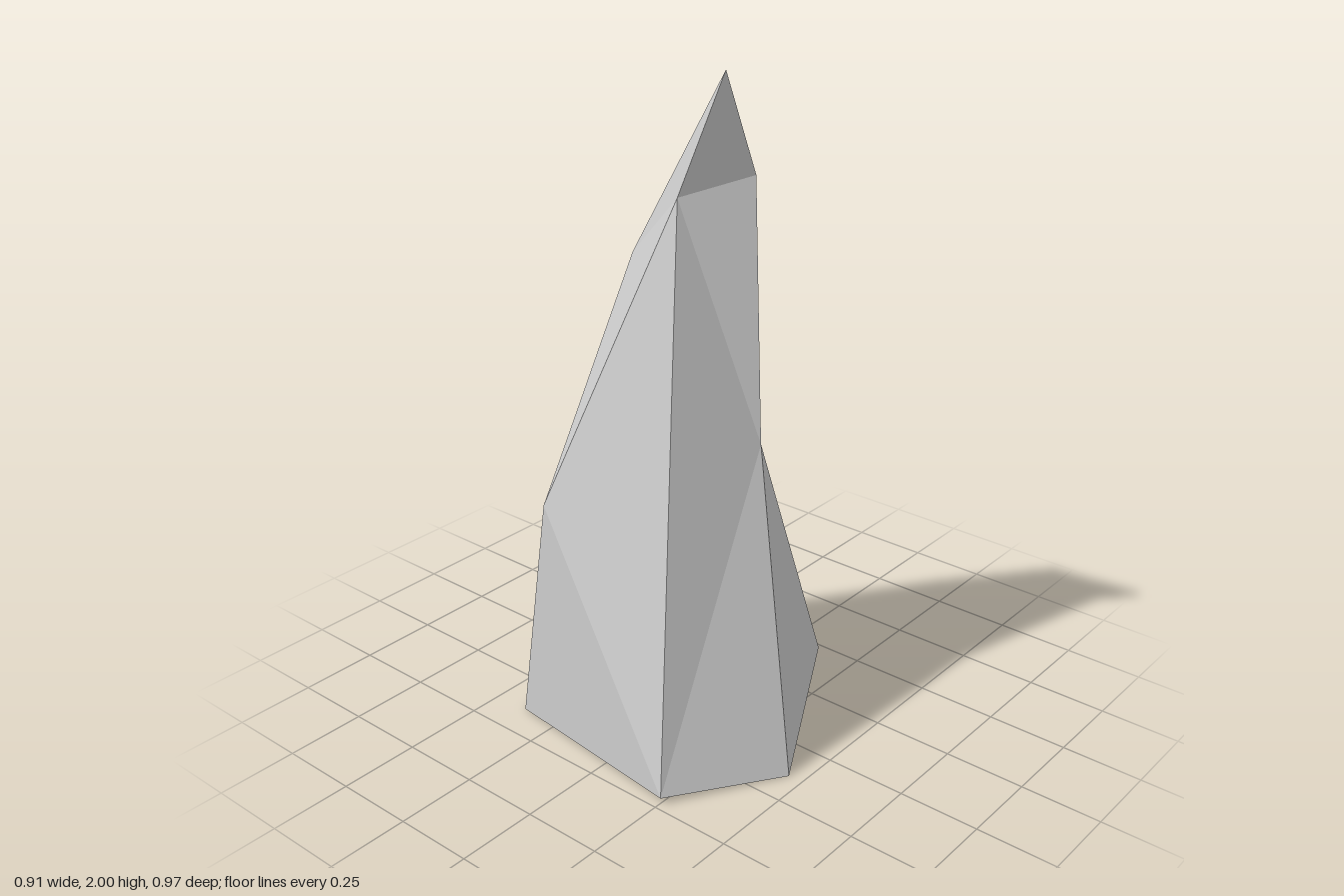
import * as THREE from 'three';

// Corner points of the shard, named by level
const P = {
  // uneven five-sided foot, counterclockwise from above
  b0: [-0.455, 0.01, -0.215], b1: [-0.385, 0, 0.39], b2: [0.253, 0.02, 0.48],
  b3: [0.453, 0, 0.14], b4: [0.105, 0, -0.485],
  // one break point on each flank
  m0: [-0.295, 1.4, -0.043], m1: [-0.275, 0.74, 0.38], m2: [-0.018, 1.64, 0.077],
  m3: [0.2, 0.93, -0.03], m4: [0.015, 0.69, -0.266],
  // shoulders and tip
  u1: [0.115, 1.69, -0.1], u2: [-0.097, 1.63, -0.208], tip: [0.118, 2, 0.038],
};

// Facets, corners counterclockwise from outside
const FACETS = {
  leftToFront: 'b0 b1 m0, b1 m1 m0, b1 b2 m1, b2 m2 m1, m1 m2 m0',
  right: 'b2 m3 m2, b2 b3 m3, m2 m3 u1, b3 b4 m3, b4 m4 m3, m3 m4 u1',
  back: 'm4 u2 u1, b4 b0 m4, b0 u2 m4, b0 m0 u2',
  peak: 'm0 m2 tip, m2 u1 tip, u1 u2 tip, m0 tip u2',
  underside: 'b0 b4 b3, b0 b3 b2, b0 b2 b1',
};

function facetGeometry(facets) {
  const positions = facets.split(', ').flatMap((f) => f.split(' ').flatMap((name) => P[name]));
  const geometry = new THREE.BufferGeometry();
  geometry.setAttribute('position', new THREE.Float32BufferAttribute(positions, 3));
  geometry.computeVertexNormals();
  return geometry;
}

export function createModel() {
  const group = new THREE.Group();
  group.name = 'rockShard';
  const stone = new THREE.MeshStandardMaterial({ color: 0xcccccc, flatShading: true });
  const rock = new THREE.Mesh(facetGeometry(Object.values(FACETS).join(', ')), stone);
  rock.name = 'rock';
  group.add(rock);
  return group;
}
